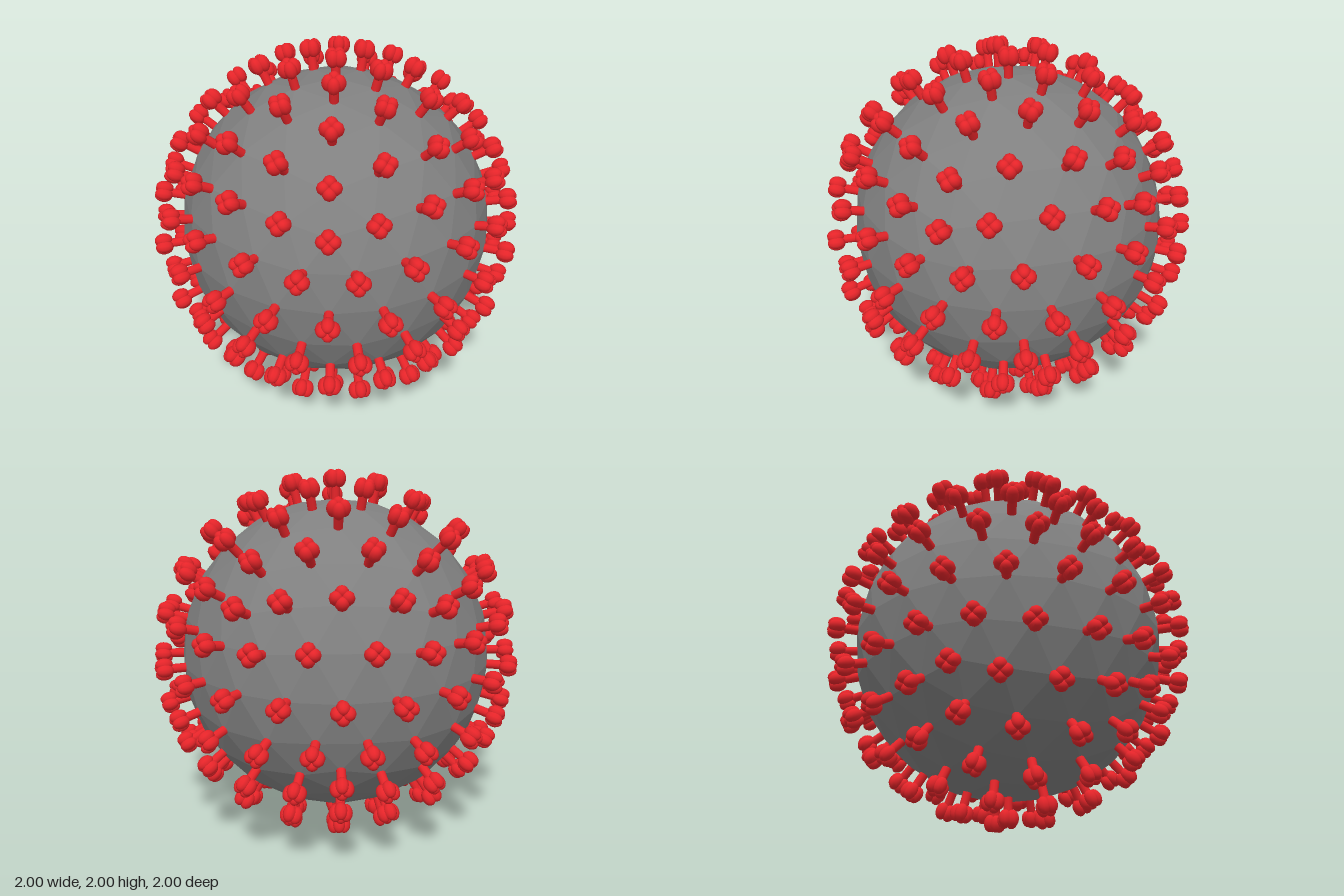
import * as THREE from 'three';
import { mergeGeometries } from 'three/addons/utils/BufferGeometryUtils.js';

const CORE_RADIUS = 0.845;

// One spike along +y, measured from the centre of the core: stem plus four-lobed head
function spikeGeometry() {
  const parts = [new THREE.CylinderGeometry(0.024, 0.024, 0.13, 10, 1, true).translate(0, 0.875, 0)];
  for (let i = 0; i < 4; i++) {
    parts.push(new THREE.SphereGeometry(1, 10, 8)
      .scale(0.034, 0.046, 0.034)
      .translate(0.027, 0.954, 0)
      .rotateY(i * Math.PI / 2));
  }
  return mergeGeometries(parts);
}

// Distinct corner directions of a faceted sphere
function cornerDirections(geometry) {
  const found = new Map();
  const p = geometry.attributes.position;
  for (let i = 0; i < p.count; i++) {
    const v = new THREE.Vector3().fromBufferAttribute(p, i).normalize();
    const key = v.toArray().map((c) => Math.round(c * 1000) + 0).join();
    if (!found.has(key)) found.set(key, v);
  }
  return [...found.values()];
}

// Turns +y to the given direction, keeping the lobes along meridian and parallel
function spikeMatrix(dir) {
  const east = new THREE.Vector3(0, 1, 0).cross(dir);
  if (east.length() < 0.01) east.set(0, 0, 1);
  east.normalize();
  const meridian = new THREE.Vector3().crossVectors(dir, east);
  return new THREE.Matrix4().makeBasis(meridian, dir, east);
}

export function createModel() {
  const model = new THREE.Group();
  model.name = 'spikedSphere';

  // Faceted core, turned so a five-fold corner points up
  const coreGeometry = new THREE.IcosahedronGeometry(CORE_RADIUS, 3);
  coreGeometry.rotateZ(-Math.atan(2 / (1 + Math.sqrt(5))));
  const core = new THREE.Mesh(coreGeometry,
    new THREE.MeshStandardMaterial({ color: 0x808080, flatShading: true }));
  core.name = 'core';

  // A spike on every corner of the core
  const spike = spikeGeometry();
  const spikes = new THREE.Mesh(
    mergeGeometries(cornerDirections(coreGeometry).map((d) => spike.clone().applyMatrix4(spikeMatrix(d)))),
    new THREE.MeshStandardMaterial({ color: 0xe62429 }));
  spikes.name = 'spikes';

  core.position.y = spikes.position.y = 1;
  model.add(core, spikes);
  return model;
}
